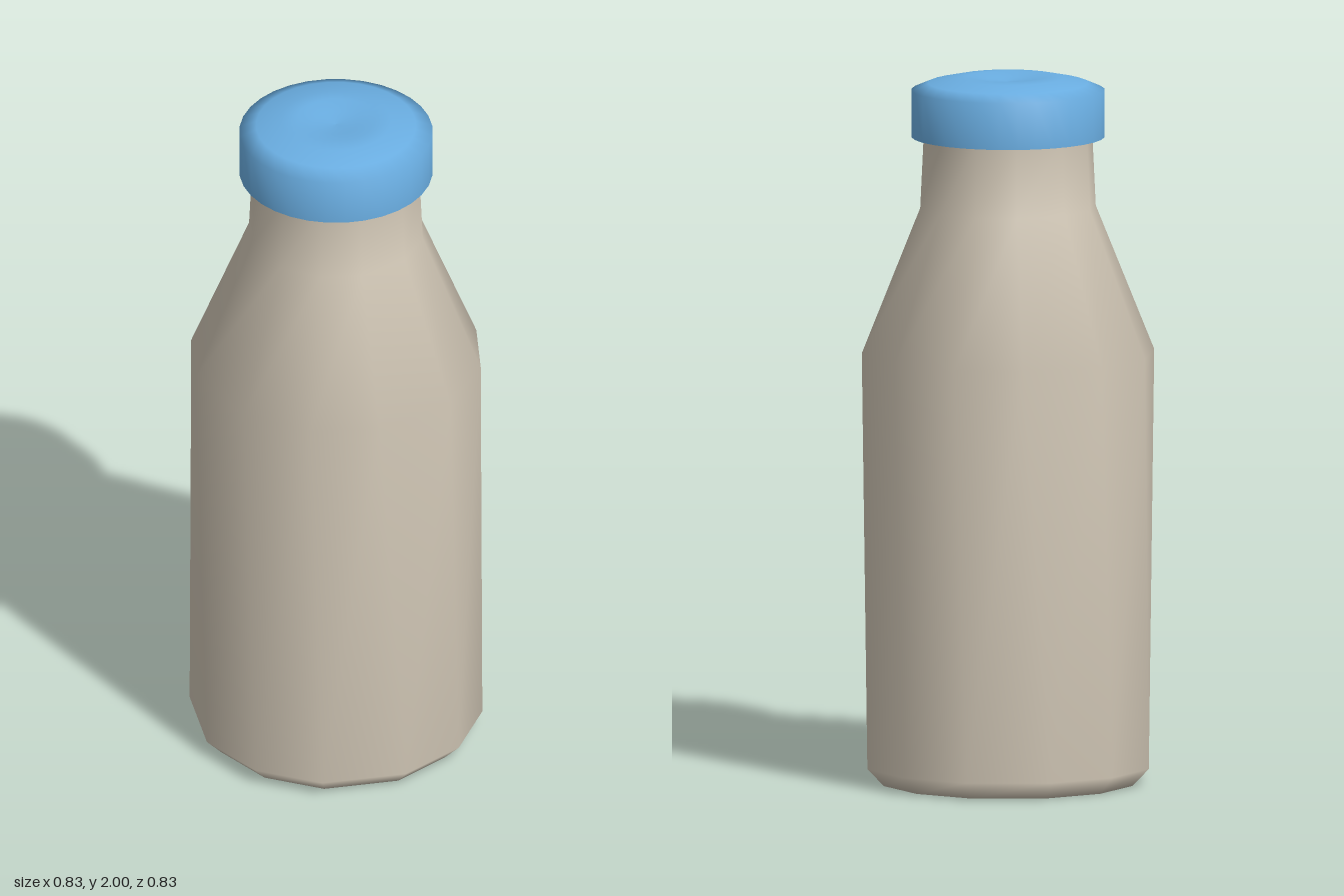
import * as THREE from 'three';

const glass = new THREE.MeshStandardMaterial({ color: 0xcfc5b4 });
glass.name = 'milky beige';
const blue = new THREE.MeshStandardMaterial({ color: 0x6aaee2, side: THREE.DoubleSide });
blue.name = 'cap blue';

// Corner angles over a quarter turn, repeated four times round the bottle
const UPPER = [0, 33.75, 61];
const LOWER = [-5.6, 22.5, 56.25];

// Rings from the base centre up to the hidden top of the neck: [radius, y, angles]
const RINGS = [
  [0, 0, LOWER],
  [0.365, 0, LOWER],
  [0.413, 0.05, LOWER],
  [0.413, 1.22, UPPER],
  [0.248, 1.63, UPPER],
  [0.238, 1.84, UPPER],
  [0.235, 1.93, UPPER],
  [0, 1.93, UPPER],
];

// Joins twelve-cornered, slightly twisted rings into one smooth skin
function ringSkin(rings) {
  const sides = 12;
  const positions = [];
  const indices = [];
  rings.forEach(([radius, y, angles], r) => {
    for (let i = 0; i < sides; i++) {
      const a = THREE.MathUtils.degToRad(angles[i % 3] + 90 * Math.floor(i / 3));
      positions.push(radius * Math.cos(a), y, radius * Math.sin(a));
      if (r === rings.length - 1) continue;
      const low = r * sides + i;
      const lowNext = r * sides + (i + 1) % sides;
      const up = low + sides;
      const upNext = lowNext + sides;
      if (radius > 0) indices.push(low, up, lowNext);
      if (rings[r + 1][0] > 0) indices.push(up, upNext, lowNext);
    }
  });
  const geometry = new THREE.BufferGeometry();
  geometry.setAttribute('position', new THREE.Float32BufferAttribute(positions, 3));
  geometry.setIndex(indices);
  geometry.computeVertexNormals();
  return geometry;
}

export function createModel() {
  const model = new THREE.Group();
  model.name = 'bottle';

  // Faceted body, shoulder and neck
  const body = new THREE.Mesh(ringSkin(RINGS), glass);
  body.name = 'bottleBody';
  model.add(body);

  // Hollow round cap with a slightly dished top
  const profile = [
    [0.272, 1.83], [0.272, 1.962], [0.225, 1.982], [0.155, 1.997],
    [0.11, 2], [0.06, 1.99], [0, 1.985],
  ].map(([x, y]) => new THREE.Vector2(x, y));
  const cap = new THREE.Mesh(new THREE.LatheGeometry(profile, 32), blue);
  cap.name = 'cap';
  model.add(cap);

  return model;
}
